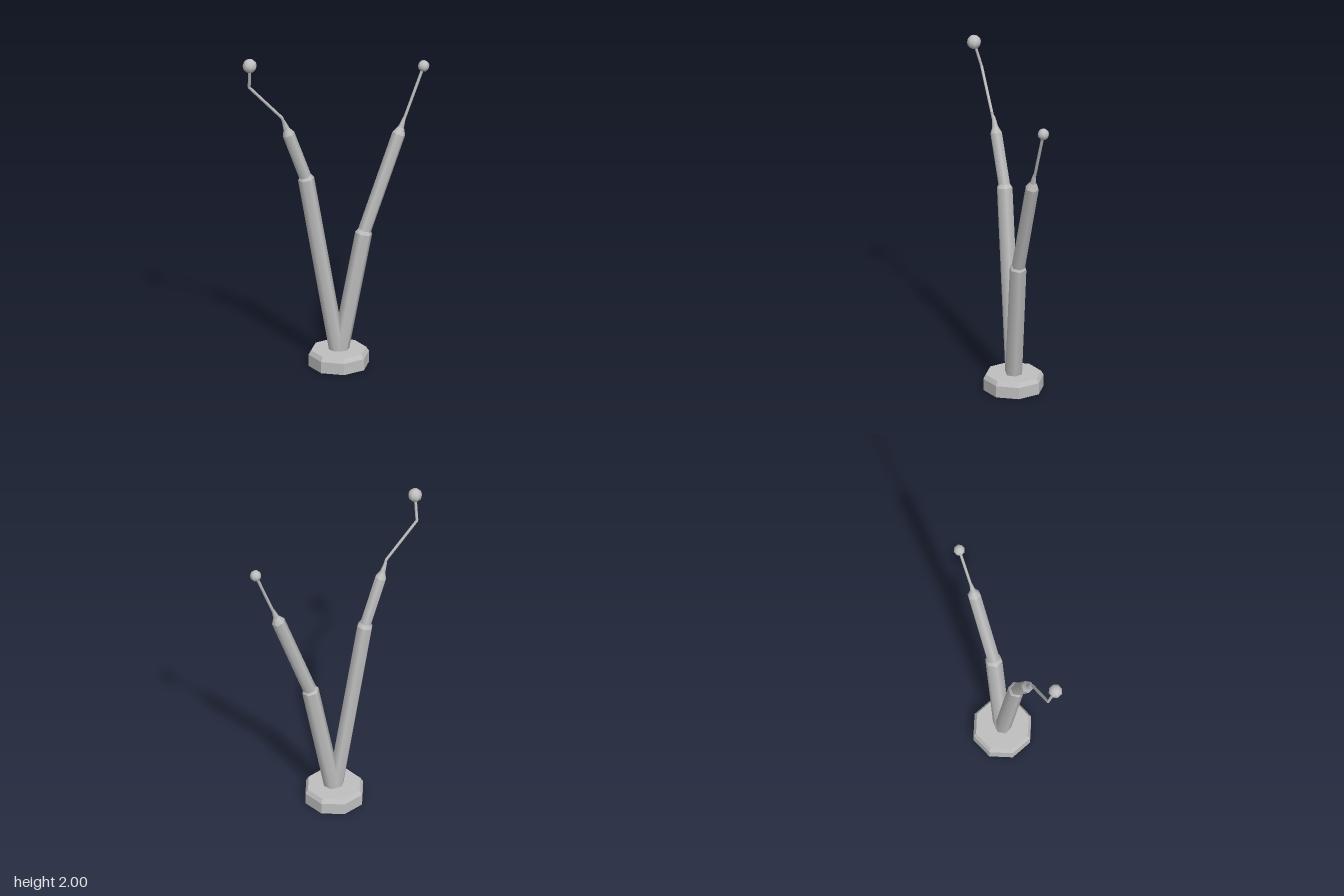
import * as THREE from 'three';
import { mergeGeometries } from 'three/addons/utils/BufferGeometryUtils.js';

const UP = new THREE.Vector3(0, 1, 0);

export function createModel() {
  const group = new THREE.Group();
  group.name = 'tableAntenna';
  const metal = new THREE.MeshStandardMaterial({ color: 0xbfbfbf, side: THREE.DoubleSide });
  metal.name = 'grey metal';

  const add = (name, geometry) => {
    const mesh = new THREE.Mesh(geometry, metal);
    mesh.name = name;
    group.add(mesh);
    return mesh;
  };

  // Stack of conical sections [height, radius] laid along the line a -> b
  function section(name, a, b, profile, sides) {
    const from = new THREE.Vector3(...a), to = new THREE.Vector3(...b);
    const dir = to.clone().sub(from);
    const length = dir.length();
    const rings = profile(length);
    const parts = [];
    for (let i = 1; i < rings.length; i++) {
      const [h0, r0] = rings[i - 1], [h1, r1] = rings[i];
      const g = new THREE.CylinderGeometry(r1, r0, h1 - h0, sides, 1, true, Math.PI / 2);
      parts.push(g.translate(0, (h0 + h1) / 2, 0));
    }
    // end caps
    const [hs, rs] = rings[0], [he, re] = rings[rings.length - 1];
    parts.push(new THREE.CircleGeometry(rs, sides).rotateX(Math.PI / 2).translate(0, hs, 0));
    parts.push(new THREE.CircleGeometry(re, sides).rotateX(-Math.PI / 2).translate(0, he, 0));
    const mesh = add(name, mergeGeometries(parts));
    mesh.position.copy(from);
    mesh.quaternion.setFromUnitVectors(UP, dir.normalize());
  }

  // Bevelled lower tube, and upper tube with a tapered neck
  const lower = r => l => [[-0.015, r * 0.6], [0.01, r], [l, r], [l + 0.022, r * 0.72]];
  const upper = r => l => [[0, r], [l, r], [l + 0.03, r * 0.6], [l + 0.04, 0.018], [l + 0.1, 0.009]];
  const rod = r => l => [[0, r], [l, r]];

  // Octagonal hollow base: wall, bevel and top
  const faceted = g => {
    const flat = g.toNonIndexed();
    flat.computeVertexNormals();
    return flat;
  };
  const base = mergeGeometries([
    faceted(new THREE.CylinderGeometry(0.178, 0.178, 0.07, 8, 1, true).translate(0, 0.035, 0)),
    faceted(new THREE.CylinderGeometry(0.162, 0.178, 0.025, 8, 1, true).translate(0, 0.0825, 0)),
    faceted(new THREE.CircleGeometry(0.162, 8).rotateX(-Math.PI / 2).translate(0, 0.095, 0)),
  ]);
  add('base', base).position.x = 0.02;

  // Each arm: foot, elbow and neck of the tubes, then the rod path to its ball
  const foot = [0.02, 0.04, 0];
  const arms = [
    {
      side: 'left', elbow: [0.167, 0.81, 0], neck: [0.382, 1.4, -0.043],
      lowerR: 0.051, upperR: 0.04, ballR: 0.034,
      path: [[0.535, 1.797, -0.08]],
    },
    {
      side: 'right', elbow: [-0.175, 1.18, 0.015], neck: [-0.284, 1.48, 0.045],
      lowerR: 0.048, upperR: 0.036, ballR: 0.042,
      path: [[-0.325, 1.59, 0.062], [-0.523, 1.805, 0.086], [-0.528, 1.958, 0.13]],
    },
  ];
  for (const { side, elbow, neck, lowerR, upperR, ballR, path } of arms) {
    section(`${side}LowerTube`, foot, elbow, lower(lowerR), 6);
    section(`${side}UpperTube`, elbow, neck, upper(upperR), 6);
    let previous = neck;
    path.forEach((point, i) => {
      section(`${side}Rod${i + 1}`, previous, point, rod(0.009), 6);
      previous = point;
    });
    add(`${side}Ball`, new THREE.SphereGeometry(ballR, 8, 6)).position.set(...previous);
  }
  return group;
}
